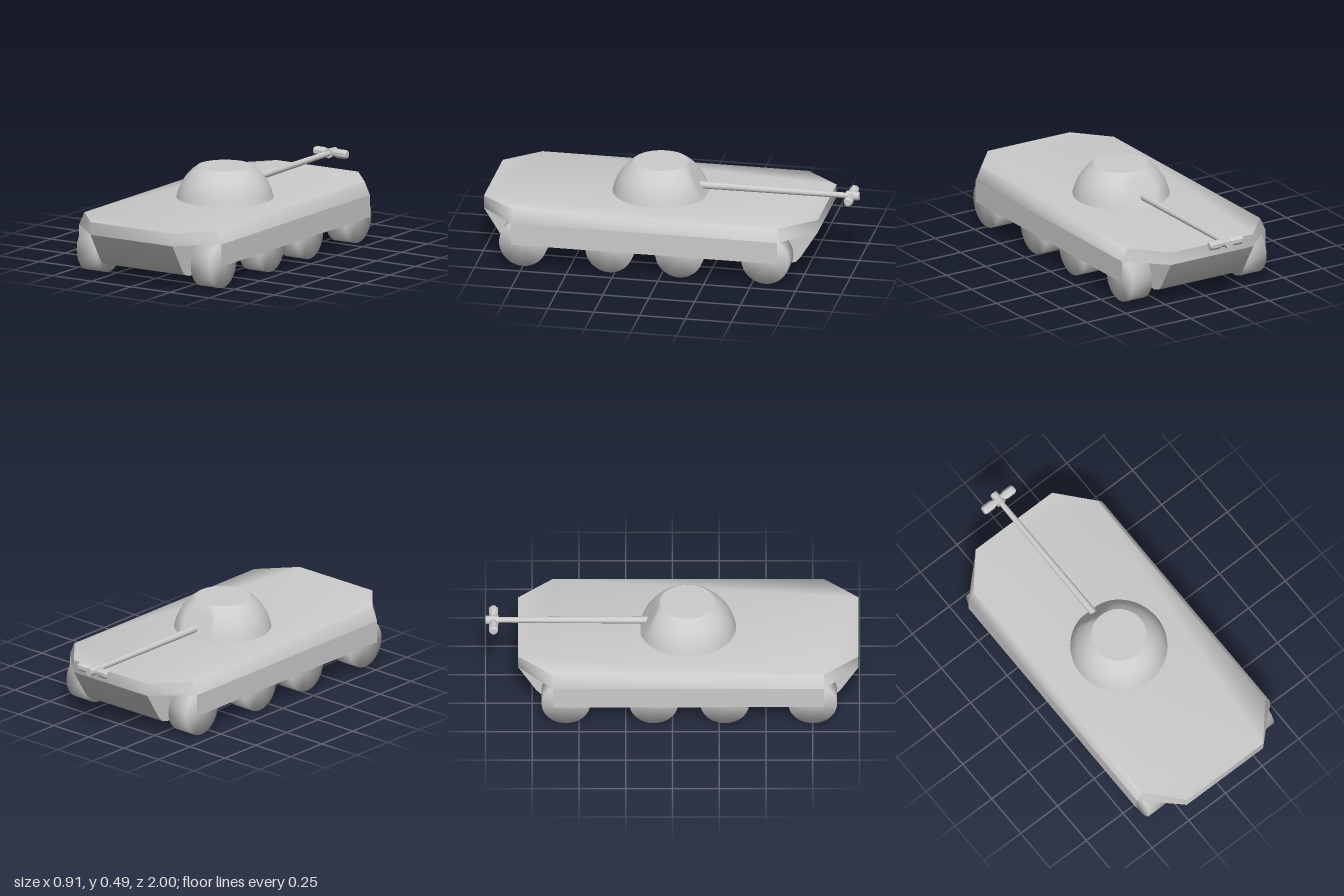
import * as THREE from 'three';
import { toCreasedNormals } from 'three/addons/utils/BufferGeometryUtils.js';

const grey = new THREE.MeshStandardMaterial({ color: 0xcccccc });
const greyThin = new THREE.MeshStandardMaterial({ color: 0xcccccc, side: THREE.DoubleSide });

function addMesh(parent, name, geometry, material = grey) {
  const mesh = new THREE.Mesh(geometry, material);
  mesh.name = name;
  parent.add(mesh);
  return mesh;
}

function extrude(points, depth) {
  const shape = new THREE.Shape(points.map(([x, y]) => new THREE.Vector2(x, y)));
  return new THREE.ExtrudeGeometry(shape, { depth, bevelEnabled: false });
}

// Eight-sided deck slab whose long sides lean inwards towards the top
function deckGeometry() {
  const g = extrude([
    [0.26, 0.995], [-0.26, 0.995], [-0.455, 0.81], [-0.455, -0.64],
    [-0.26, -0.825], [0.26, -0.825], [0.455, -0.64], [0.455, 0.81],
  ], 0.07);
  g.rotateX(Math.PI / 2).translate(0, 0.322, 0);
  const p = g.attributes.position;
  for (let i = 0; i < p.count; i++) {
    if (p.getY(i) > 0.3 && Math.abs(p.getX(i)) > 0.4) p.setX(i, Math.sign(p.getX(i)) * 0.422);
  }
  return toCreasedNormals(g, 1.2);
}

// Narrow lower hull: side profile in z and y, drawn out across x
function lowerHullGeometry() {
  const g = extrude([
    [0.995, 0.252], [0.9, 0.1], [0.875, 0.073], [0.83, 0.06],
    [-0.66, 0.06], [-0.705, 0.073], [-0.73, 0.1], [-0.825, 0.252],
  ], 0.524);
  g.rotateY(-Math.PI / 2).translate(0.262, 0, 0);
  return toCreasedNormals(g, 1.2);
}

// Truncated dome, cut by a sloping plane where the gun comes out
function turretGeometry() {
  const profile = [
    [0, 0], [0.26, 0], [0.25, 0.037], [0.236, 0.072], [0.219, 0.1],
    [0.2, 0.125], [0.178, 0.148], [0.148, 0.17], [0, 0.17],
  ].map(([r, y]) => new THREE.Vector2(r, y));
  const g = new THREE.LatheGeometry(profile, 64);
  const p = g.attributes.position;
  for (let i = 0; i < p.count; i++) {
    const limit = -0.252 + p.getY(i) * 0.59;
    p.setZ(i, Math.max(p.getZ(i), limit));
  }
  return toCreasedNormals(g, 0.6);
}

// Wheel and its tapered axle stub, turned around the x axis
function wheelGeometry() {
  const profile = [[0.015, 0.25], [0.031, 0.303], [0.13, 0.303], [0.13, 0.425], [0, 0.425]]
    .map(([r, y]) => new THREE.Vector2(r, y));
  return new THREE.LatheGeometry(profile, 40).rotateZ(-Math.PI / 2);
}

export function createModel() {
  const model = new THREE.Group();
  model.name = 'armouredVehicle';

  addMesh(model, 'deck', deckGeometry());
  addMesh(model, 'lowerHull', lowerHullGeometry());

  // Thin side skirts
  for (const [side, name] of [[1, 'leftSkirt'], [-1, 'rightSkirt']]) {
    const skirt = addMesh(model, name, new THREE.PlaneGeometry(1.45, 0.122), greyThin);
    skirt.rotation.y = side * Math.PI / 2;
    skirt.position.set(side * 0.455, 0.191, 0.085);
  }

  // Four wheels on each side
  const wheel = wheelGeometry();
  [0.75, 0.28, -0.1, -0.57].forEach((z, i) => {
    for (const [turn, name] of [[0, 'leftWheel'], [Math.PI, 'rightWheel']]) {
      const mesh = addMesh(model, name + (i + 1), wheel);
      mesh.rotation.y = turn;
      mesh.position.set(0, 0.13, z);
    }
  });

  const turret = addMesh(model, 'turret', turretGeometry());
  turret.position.set(0, 0.322, 0.08);

  // Gun, built along -z from the turret
  const gun = new THREE.Group();
  gun.name = 'gun';
  gun.position.y = 0.37;
  model.add(gun);

  const barrel = addMesh(gun, 'barrel', new THREE.CylinderGeometry(0.02, 0.015, 0.86, 16));
  barrel.rotation.x = Math.PI / 2;
  barrel.position.z = -0.53;

  const sleeve = addMesh(gun, 'muzzleSleeve', new THREE.CylinderGeometry(0.027, 0.022, 0.07, 12));
  sleeve.rotation.x = Math.PI / 2;
  sleeve.position.z = -0.965;

  // Muzzle brake: a bevelled bar tapering at both ends
  const brakeProfile = [[0, -0.105], [0.019, -0.105], [0.025, -0.095], [0.025, -0.045], [0.02, -0.03],
    [0.02, 0.03], [0.025, 0.045], [0.025, 0.095], [0.019, 0.105], [0, 0.105]]
    .map(([r, y]) => new THREE.Vector2(r, y));
  const brakeShape = new THREE.LatheGeometry(brakeProfile, 8).rotateY(Math.PI / 8).rotateZ(-Math.PI / 2);
  const brake = addMesh(gun, 'muzzleBrake', toCreasedNormals(brakeShape, 0.5));
  brake.position.z = -0.957;

  return model;
}
